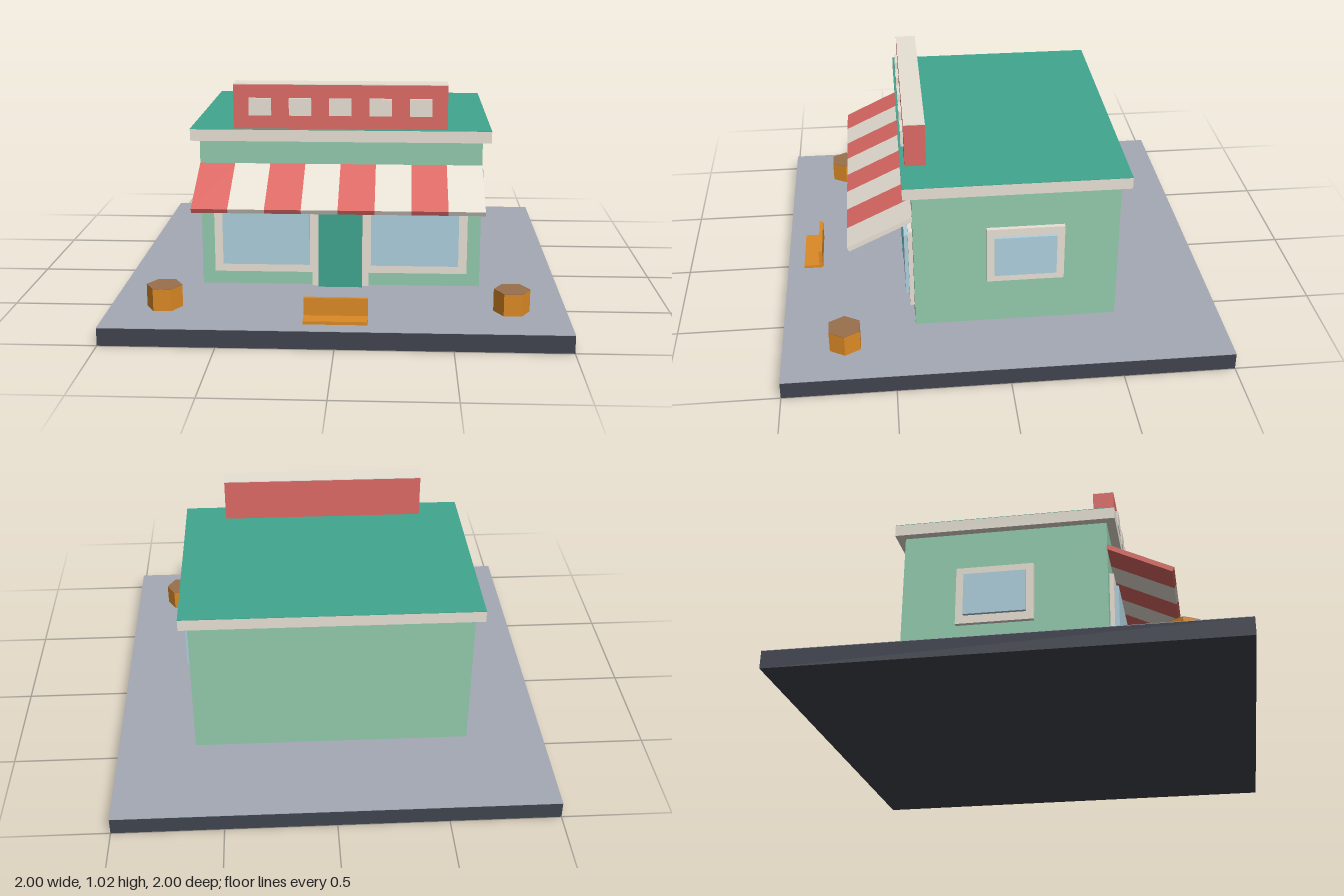
import * as THREE from 'three';

const mat = (color) => new THREE.MeshStandardMaterial({ color, flatShading: true });
const M = {
  wall: mat(0x92cbad), red: mat(0xde6a65), cream: mat(0xe8e1d5), teal: mat(0x40a68f),
  glass: mat(0xaed0de), orange: mat(0xdc8a26), soil: mat(0x99704c),
  kerb: mat(0x40444f), paving: mat(0xa4a9b4),
};

export function createModel() {
  const root = new THREE.Group();

  // Box given by its extents on each axis
  const box = (name, material, [x0, x1], [y0, y1], [z0, z1], parent = root) => {
    const mesh = new THREE.Mesh(new THREE.BoxGeometry(x1 - x0, y1 - y0, z1 - z0), material);
    mesh.position.set((x0 + x1) / 2, (y0 + y1) / 2, (z0 + z1) / 2);
    mesh.name = name;
    parent.add(mesh);
    return mesh;
  };

  // Ground slab with paved top
  box('groundSlab', M.kerb, [-1, 1], [0, 0.078], [-1, 1]);
  box('paving', M.paving, [-1, 1], [0.078, 0.08], [-1, 1]);

  // Shop body and roof
  box('walls', M.wall, [-0.64, 0.64], [0.08, 0.77], [-0.52, 0.4]);
  box('roofTrim', M.cream, [-0.677, 0.677], [0.765, 0.818], [-0.56, 0.44]);
  box('roofTop', M.teal, [-0.677, 0.677], [0.818, 0.82], [-0.56, 0.44]);

  // Rooftop sign with five blank panels
  box('signBoard', M.red, [-0.48, 0.48], [0.82, 1.02], [0.325, 0.42]);
  box('signCap', M.cream, [-0.48, 0.48], [1.02, 1.023], [0.325, 0.42]);
  for (let i = -2; i <= 2; i++) {
    const x = i * 0.18;
    box('signPanel', M.cream, [x - 0.05, x + 0.05], [0.882, 0.96], [0.42, 0.433]);
  }

  // Striped sloping awning
  const awning = new THREE.Group();
  awning.name = 'awning';
  awning.position.set(0, 0.575, 0.54);
  awning.rotation.x = 0.45;
  root.add(awning);
  for (let i = 0; i < 8; i++) {
    const x = -0.64 + i * 0.16;
    box('awningStripe', i % 2 ? M.cream : M.red, [x, x + 0.16], [-0.011, 0.011], [-0.16, 0.16], awning);
  }

  // Door and its surround
  box('doorFrame', M.cream, [-0.13, 0.13], [0.08, 0.51], [0.39, 0.419]);
  box('door', M.teal, [-0.1, 0.1], [0.08, 0.48], [0.39, 0.438]);

  // Mirrored shop windows, side windows and planters
  for (const s of [-1, 1]) {
    const span = (a, b) => (s > 0 ? [a, b] : [-b, -a]);
    box('shopWindowFrame', M.cream, span(0.1, 0.58), [0.145, 0.54], [0.39, 0.42]);
    box('shopWindowGlass', M.glass, span(0.14, 0.54), [0.185, 0.5], [0.4, 0.437]);
    box('sideWindowFrame', M.cream, span(0.63, 0.66), [0.307, 0.58], [-0.273, 0.075]);
    box('sideWindowGlass', M.glass, span(0.64, 0.675), [0.345, 0.542], [-0.237, 0.042]);

    const planter = new THREE.Group();
    planter.name = 'planter';
    planter.position.set(s * 0.76, 0.08, 0.72);
    planter.rotation.y = Math.PI / 6;
    const parts = [['planterTub', M.orange, 0, 0.098], ['planterSoil', M.soil, 0.098, 0.1]];
    for (const [name, material, y0, y1] of parts) {
      const mesh = new THREE.Mesh(new THREE.CylinderGeometry(0.079, 0.079, y1 - y0, 6), material);
      mesh.position.y = (y0 + y1) / 2;
      mesh.name = name;
      planter.add(mesh);
    }
    root.add(planter);
  }

  // Bench facing the street
  box('benchSeat', M.orange, [-0.138, 0.138], [0.08, 0.094], [0.832, 0.922]);
  box('benchBack', M.orange, [-0.138, 0.138], [0.094, 0.172], [0.832, 0.849]);

  return root;
}
